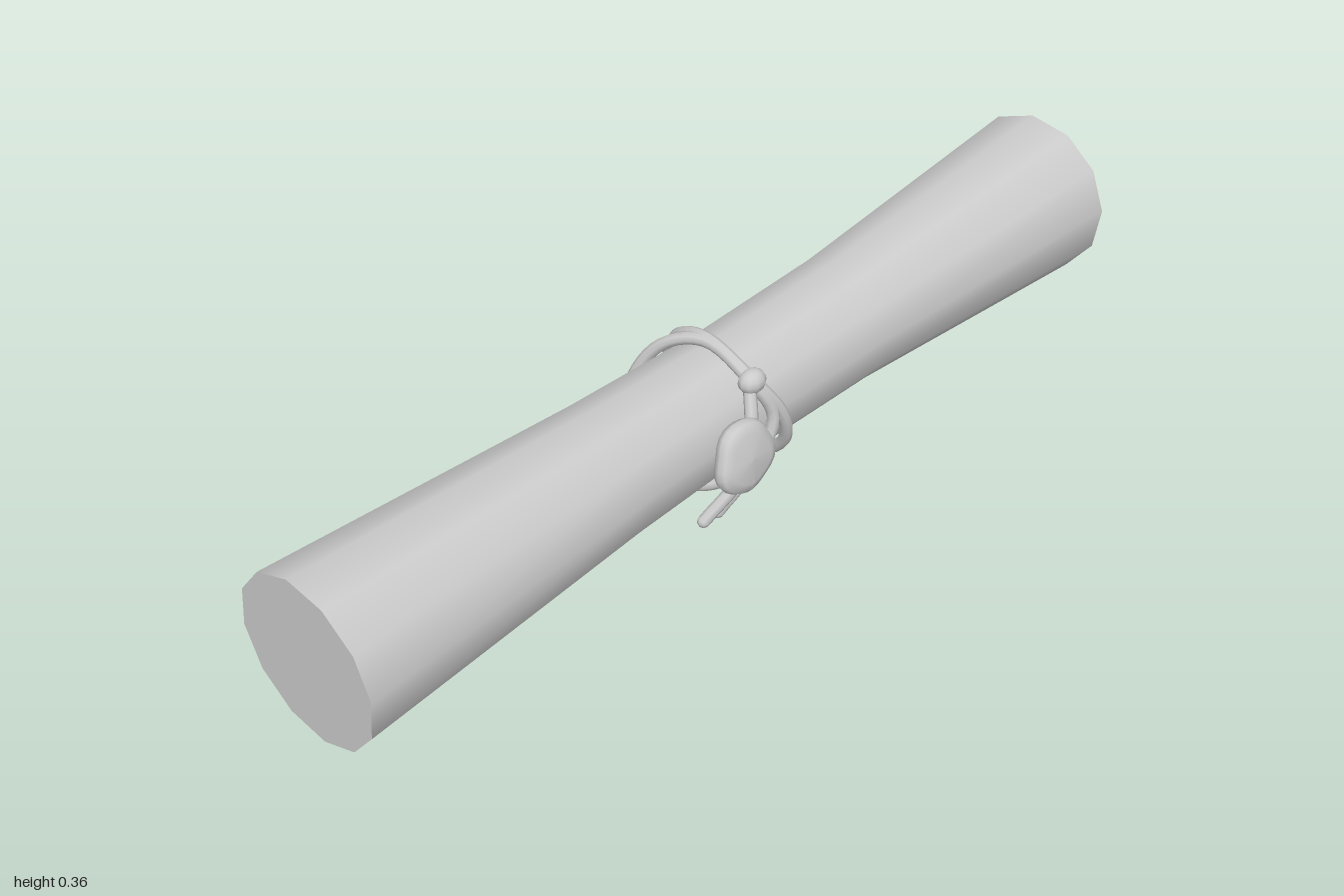
import * as THREE from 'three';

const material = new THREE.MeshStandardMaterial({ color: 0xcccccc });
const CY = 0.172, CZ = -0.011; // axis of the roll at its waist
const rad = THREE.MathUtils.degToRad;

function add(parent, name, geometry) {
  const mesh = new THREE.Mesh(geometry, material);
  mesh.name = name;
  parent.add(mesh);
  return mesh;
}

// Cord through a list of points; open cords get rounded ends
function cord(parent, name, points, closed, radius = 0.0125) {
  const path = new THREE.CatmullRomCurve3(points, closed);
  add(parent, name, new THREE.TubeGeometry(path, closed ? 48 : 12, radius, 8, closed));
  if (!closed) {
    for (const p of [points[0], points[points.length - 1]]) {
      add(parent, name + 'End', new THREE.SphereGeometry(radius, 8, 6)).position.copy(p);
    }
  }
}

// Point on a wrap: angle from the front (+z) over the top, distance from axis
function wrapPoint([deg, x, r]) {
  return new THREE.Vector3(x, CY + r * Math.sin(rad(deg)), CZ + r * Math.cos(rad(deg)));
}

// Twelve-sided roll, narrow at the waist, with flat ends
function buildRoll() {
  const roll = new THREE.Group();
  roll.name = 'paperRoll';
  const profile = [[0.167, -1], [0.133, -0.33], [0.125, 0], [0.132, 0.33], [0.18, 1]];
  const side = new THREE.LatheGeometry(
    profile.map(([r, x]) => new THREE.Vector2(r, x)), 12, rad(-6));
  side.rotateZ(-Math.PI / 2);
  const pos = side.attributes.position;
  for (let i = 0; i < pos.count; i++) {
    const lift = Math.max(0, pos.getX(i));
    pos.setY(i, pos.getY(i) + CY + 0.011 * lift);
    pos.setZ(i, pos.getZ(i) + CZ + 0.004 * lift);
  }
  add(roll, 'rolledSheet', side);

  const right = add(roll, 'rollEnd', new THREE.CircleGeometry(0.18, 12, rad(84)));
  right.rotation.y = Math.PI / 2;
  right.position.set(1, CY + 0.011, CZ + 0.004);
  const left = add(roll, 'rollEnd', new THREE.CircleGeometry(0.167, 12, rad(96)));
  left.rotation.y = -Math.PI / 2;
  left.position.set(-1, CY, CZ);
  return roll;
}

// Two slanted wraps meeting at a knot, with two loose tails
function buildTie() {
  const tie = new THREE.Group();
  tie.name = 'tie';
  const wraps = [
    [[45, -0.05, 0.148], [90, -0.055, 0.146], [130, -0.085, 0.141], [180, -0.12, 0.139],
      [225, -0.13, 0.139], [270, -0.13, 0.139], [305, -0.105, 0.139], [335, -0.05, 0.139],
      [10, -0.02, 0.14]],
    [[45, -0.045, 0.148], [90, -0.05, 0.148], [130, -0.035, 0.141], [180, -0.008, 0.139],
      [225, 0.005, 0.139], [270, 0.02, 0.139], [305, 0.04, 0.139], [335, 0.03, 0.139],
      [10, 0, 0.141]],
  ];
  wraps.forEach((w) => cord(tie, 'cordWrap', w.map(wrapPoint), true));

  const knot = add(tie, 'knot', new THREE.SphereGeometry(0.027, 10, 8));
  knot.position.set(-0.05, 0.277, 0.1);
  knot.scale.set(1.1, 0.9, 0.9);

  for (const [bend, end] of [[-0.125, -0.197], [-0.105, -0.158]]) {
    cord(tie, 'cordTail', [
      new THREE.Vector3(-0.055, 0.275, 0.098),
      new THREE.Vector3(-0.085, 0.2, 0.13),
      new THREE.Vector3(bend, 0.12, 0.14),
      new THREE.Vector3(end, 0.042, 0.113),
    ], false);
  }
  return tie;
}

// Wax seal: a soft disc with an uneven rim
function buildSeal() {
  const profile = [[0, -0.022], [0.05, -0.022], [0.068, -0.014], [0.073, 0],
    [0.068, 0.012], [0.05, 0.02], [0, 0.024]];
  const geo = new THREE.LatheGeometry(profile.map(([r, y]) => new THREE.Vector2(r, y)), 28);
  const pos = geo.attributes.position;
  for (let i = 0; i < pos.count; i++) {
    const x = pos.getX(i), z = pos.getZ(i), a = Math.atan2(z, x);
    const k = 1 + 0.05 * Math.sin(3 * a + 0.6) + 0.03 * Math.sin(5 * a);
    pos.setX(i, x * k);
    pos.setZ(i, z * k);
  }
  geo.computeVertexNormals();
  const seal = new THREE.Mesh(geo, material);
  seal.name = 'waxSeal';
  seal.position.set(-0.127, 0.174, 0.15);
  seal.rotation.x = Math.PI / 2 - 0.16;
  return seal;
}

export function createModel() {
  const model = new THREE.Group();
  model.name = 'tiedScroll';
  model.add(buildRoll(), buildTie(), buildSeal());
  return model;
}
